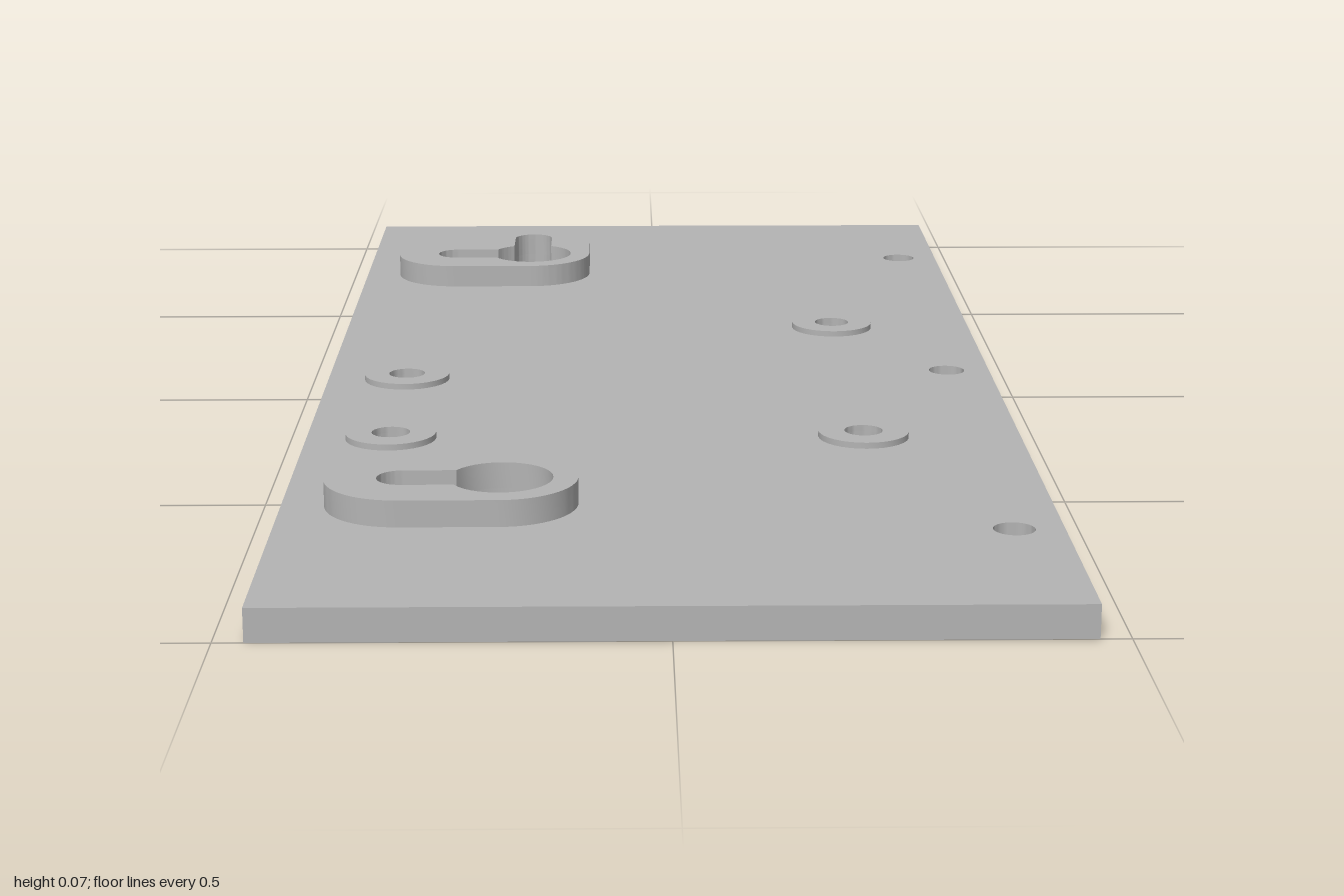
import * as THREE from 'three';
import { toCreasedNormals } from 'three/addons/utils/BufferGeometryUtils.js';

const PLATE_TOP = 0.04, PAD_TOP = 0.073, BOSS_TOP = 0.048;
const HOLE_R = 0.025, BOSS_R = 0.059;
const LEFT_ARM = 0.12, BACK_ARM = 0.117;

// Hole positions as [x, z]
const bosses = [[0.26, -0.257], [0.26, 0.337], [-0.355, 0.037], [-0.355, 0.337]];
const edgeHoles = [[0.405, -0.735], [0.405, 0], [0.405, 0.733]];
// Keyholes: centre, and whether there is a second slot toward the back
const keyholes = [
  { x: -0.2, z: 0.625, corner: false },
  { x: -0.2, z: -0.628, corner: true },
];

// Shapes are drawn in (x, -z) and laid flat after extrusion
function circle(Type, [x, z], r) {
  const p = new Type();
  p.absarc(x, -z, r, 0, Math.PI * 2, false);
  return p;
}

// Round centre of radius R with slots of half-width r to the left and optionally the back
function slotted(Type, { x, z, corner }, R, r) {
  const p = new Type(), v = -z, H = Math.PI / 2, a = Math.asin(r / R);
  p.absarc(x - LEFT_ARM, v, r, H, 3 * H, false);
  if (!corner) {
    p.absarc(x, v, R, 2 * H + a, 6 * H - a, false);
  } else {
    p.absarc(x, v, R, 2 * H + a, 5 * H - a, false);
    p.absarc(x, v + BACK_ARM, r, 0, 2 * H, false);
    if (R > r) p.absarc(x, v, R, H + a, 2 * H - a, false);
    else p.lineTo(x - R, v + R);
  }
  p.closePath();
  return p;
}

const keyholeCut = (k) => slotted(THREE.Path, k, 0.063, 0.03);

function slab(name, shape, holes, y0, y1, material) {
  shape.holes.push(...holes);
  let geo = new THREE.ExtrudeGeometry(shape, { depth: y1 - y0, bevelEnabled: false, curveSegments: 16 });
  geo.rotateX(-Math.PI / 2);
  geo.translate(0, y0, 0);
  geo = toCreasedNormals(geo, 0.6);
  const mesh = new THREE.Mesh(geo, material);
  mesh.name = name;
  return mesh;
}

export function createModel() {
  const group = new THREE.Group();
  group.name = 'mountingPlate';
  const grey = new THREE.MeshStandardMaterial({ color: 0xb4b4b4 });
  grey.name = 'plainGrey';

  // Base plate with every through hole
  const W = 0.465, L = 1;
  const outline = new THREE.Shape([[-W, -L], [W, -L], [W, L], [-W, L]].map(([x, y]) => new THREE.Vector2(x, y)));
  const cuts = [
    ...[...bosses, ...edgeHoles].map((c) => circle(THREE.Path, c, HOLE_R)),
    ...keyholes.map(keyholeCut),
  ];
  group.add(slab('basePlate', outline, cuts, 0, PLATE_TOP, grey));

  // Raised pads around the keyholes
  for (const k of keyholes) {
    const name = k.corner ? 'cornerKeyholePad' : 'straightKeyholePad';
    group.add(slab(name, slotted(THREE.Shape, k, 0.093, 0.093), [keyholeCut(k)], PLATE_TOP, PAD_TOP, grey));
  }

  // Low ring bosses around the screw holes
  bosses.forEach((c, i) => {
    group.add(slab('screwBoss' + (i + 1), circle(THREE.Shape, c, BOSS_R), [circle(THREE.Path, c, HOLE_R)],
      PLATE_TOP, BOSS_TOP, grey));
  });
  return group;
}
